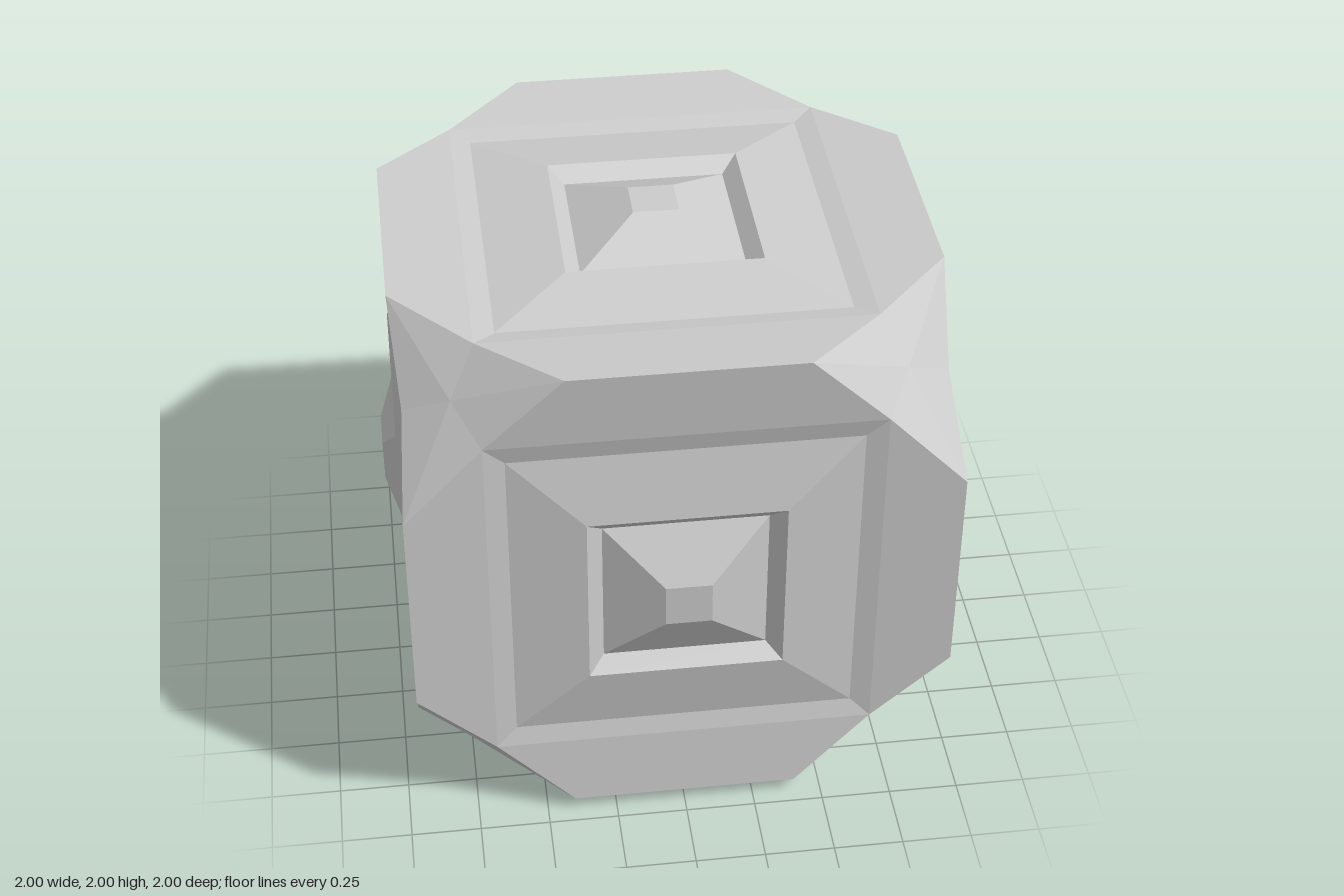
import * as THREE from 'three';

const material = new THREE.MeshStandardMaterial({ color: 0xcccccc, flatShading: true });

// Flat-faceted geometry from convex polygons (corners counter-clockwise from outside)
function facets(polygons) {
  const pos = [];
  for (const p of polygons)
    for (let i = 1; i < p.length - 1; i++) pos.push(...p[0], ...p[i], ...p[i + 1]);
  const geo = new THREE.BufferGeometry();
  geo.setAttribute('position', new THREE.Float32BufferAttribute(pos, 3));
  geo.computeVertexNormals();
  return geo;
}

// Four-sided rings from outside to inside; each step is [half width, distance from centre, height]
function squareRings(steps, capped) {
  const polys = [];
  for (let side = 0; side < 4; side++) {
    const c = [1, 0, -1, 0][side], s = [0, 1, 0, -1][side];
    const at = (x, [, r, h]) => [x * c - r * s, x * s + r * c, h];
    for (let i = 0; i < steps.length - 1; i++) {
      const a = steps[i], b = steps[i + 1];
      polys.push([at(a[0], a), at(-a[0], a), at(-b[0], b), at(b[0], b)]);
    }
  }
  if (capped) {
    const [w, , h] = steps[steps.length - 1];
    polys.push([[-w, -w, h], [w, -w, h], [w, w, h], [-w, w, h]]);
  }
  return facets(polys);
}

const E = 0.946, CUT = 0.4, MID = (E + CUT) / 2, DIP = 0.922;

// Octagonal panel with a shallow valley around its raised middle
const panelGeo = squareRings([[CUT, E, E], [MID, MID, DIP], [0.6, 0.6, 0.905], [0.34, 0.34, 0.95]]);
// Sloped wall of the square recess
const recessGeo = squareRings([[0.34, 0.34, 0.95], [0.285, 0.285, 0.9]]);
// Truncated pyramid rising from the recess
const studGeo = squareRings([[0.285, 0.285, 0.9], [0.08, 0.08, 1]], true);

// Dished triangular corner with pinched edges
const rim = [[CUT, E, E], [MID, MID, DIP], [E, CUT, E], [DIP, MID, MID], [E, E, CUT], [MID, DIP, MID]];
const centre = [0.762, 0.762, 0.762];
const cornerGeo = facets(rim.map((p, i) => [centre, p, rim[(i + 1) % 6]]));

export function createModel() {
  const model = new THREE.Group();
  model.name = 'facetedCube';
  const add = (parent, geo, name) => {
    const mesh = new THREE.Mesh(geo, material);
    mesh.name = name;
    parent.add(mesh);
    return mesh;
  };

  // Six identical faces
  const q = Math.PI / 2;
  const faces = {
    front: [0, 0], left: [0, q], back: [0, 2 * q], right: [0, -q], top: [-q, 0], bottom: [q, 0],
  };
  for (const [name, [rx, ry]] of Object.entries(faces)) {
    const face = new THREE.Group();
    face.name = name + 'Face';
    face.rotation.set(rx, ry, 0);
    face.position.y = 1;
    add(face, panelGeo, name + 'Panel');
    add(face, recessGeo, name + 'Recess');
    add(face, studGeo, name + 'Stud');
    model.add(face);
  }

  // Eight corners: four upper, four lower
  for (const level of ['upper', 'lower'])
    for (let i = 0; i < 4; i++) {
      const corner = add(model, cornerGeo, level + 'Corner' + (i + 1));
      corner.rotation.set(level === 'lower' ? Math.PI : 0, i * q, 0);
      corner.position.y = 1;
    }
  return model;
}
